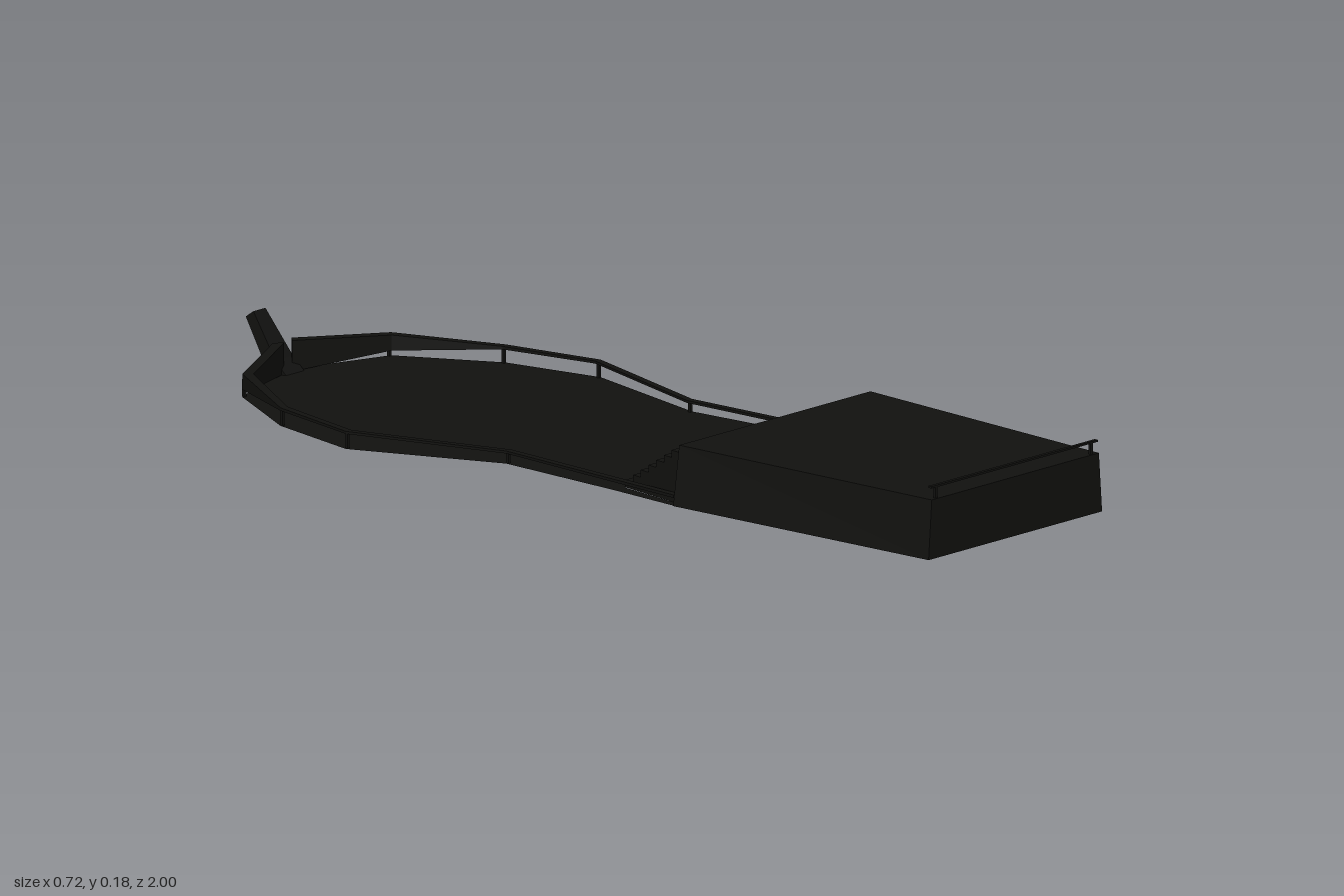
import * as THREE from 'three';

const mat = new THREE.MeshStandardMaterial({ color: 0x11110f, flatShading: true, side: THREE.DoubleSide });

// Mesh from a list of quads, each with four [x, y, z] corners
function quadMesh(name, quads) {
  const pos = [];
  for (const [a, b, c, d] of quads) pos.push(...a, ...b, ...c, ...a, ...c, ...d);
  const geo = new THREE.BufferGeometry();
  geo.setAttribute('position', new THREE.Float32BufferAttribute(pos, 3));
  geo.computeVertexNormals();
  const mesh = new THREE.Mesh(geo, mat);
  mesh.name = name;
  return mesh;
}

// Skin four-cornered cross-sections, with end caps
function loft(name, sections) {
  const quads = [sections[0], sections[sections.length - 1]];
  for (let i = 0; i < sections.length - 1; i++) {
    const s = sections[i], t = sections[i + 1];
    for (let k = 0; k < 4; k++) quads.push([s[k], t[k], t[(k + 1) % 4], s[(k + 1) % 4]]);
  }
  return quadMesh(name, quads);
}

function box(name, w, h, d, x, y, z) {
  const mesh = new THREE.Mesh(new THREE.BoxGeometry(w, h, d), mat);
  mesh.name = name;
  mesh.position.set(x, y, z);
  return mesh;
}

// Deck outline: half width, deck height, z
const OUTLINE = [
  [0.026, 0.008, -0.92], [0.21, 0.015, -0.83], [0.318, 0.016, -0.63], [0.36, 0.017, -0.42],
  [0.262, 0.029, -0.09], [0.278, 0.034, 0.21], [0.287, 0.035, 0.37],
];
const STAIR = { z0: 0.21, z1: 0.37, y0: 0.035, y1: 0.152, steps: 7 };
const lerp = THREE.MathUtils.lerp;

export function createModel() {
  const model = new THREE.Group();

  // Main deck, open under the two stairs
  const deck = [];
  for (let i = 0; i < 5; i++) {
    const [w, y, z] = OUTLINE[i], [w2, y2, z2] = OUTLINE[i + 1];
    deck.push([[-w, y, z], [-w2, y2, z2], [w2, y2, z2], [w, y, z]]);
  }
  const [wa, ya, za] = OUTLINE[5], [wb, yb, zb] = OUTLINE[6];
  deck.push([[-0.1, ya, za], [-0.14, yb, zb], [0.14, yb, zb], [0.1, ya, za]]);
  for (const s of [-1, 1])
    deck.push([[s * 0.25, ya, za], [s * 0.27, yb, zb], [s * wb, yb, zb], [s * wa, ya, za]]);
  model.add(quadMesh('mainDeck', deck));

  // Raised cabin: leaning walls and roof, open underneath
  const ring = (front, back, y) => [[-back, y, 0.37], [back, y, 0.37], [front, y, 1], [-front, y, 1]];
  const low = ring(0.245, 0.287, 0.034), top = ring(0.236, 0.27, 0.152);
  const cabin = [top];
  for (let k = 0; k < 4; k++) cabin.push([low[k], top[k], top[(k + 1) % 4], low[(k + 1) % 4]]);
  model.add(quadMesh('raisedCabin', cabin));

  // Cabin end railing
  model.add(box('cabinRail', 0.47, 0.004, 0.008, 0, 0.176, 0.994));
  for (const s of [-1, 1]) model.add(box('cabinRailPost', 0.006, 0.024, 0.006, s * 0.219, 0.164, 0.994));

  for (const s of [-1, 1]) {
    // Stair with treads, risers and sides, wider at the foot
    const quads = [];
    const at = (t, y) => {
      const z = lerp(STAIR.z0, STAIR.z1, t);
      return [[s * lerp(0.1, 0.14, t), y, z], [s * lerp(0.25, 0.27, t), y, z]];
    };
    for (let i = 0; i < STAIR.steps; i++) {
      const t0 = i / STAIR.steps, t1 = (i + 1) / STAIR.steps;
      const yPrev = lerp(STAIR.y0, STAIR.y1, i / (STAIR.steps + 1));
      const y = lerp(STAIR.y0, STAIR.y1, (i + 1) / (STAIR.steps + 1));
      const a = at(t0, y), b = at(t1, y), riser = at(t0, yPrev);
      const a0 = at(t0, STAIR.y0), b0 = at(t1, STAIR.y0);
      quads.push([a[0], b[0], b[1], a[1]], [riser[0], a[0], a[1], riser[1]]);
      for (const k of [0, 1]) quads.push([a0[k], a[k], b[k], b0[k]]);
    }
    model.add(quadMesh('stair', quads));

    // Side rail, deepening into a bulwark at the bow: x, z, top, bottom, inward z shift
    const rail = [
      [0.286, 0.37, 0.056, 0.05, 0], [0.262, -0.09, 0.054, 0.049, 0], [0.36, -0.42, 0.052, 0.047, 0],
      [0.318, -0.63, 0.052, 0.046, 0.005], [0.21, -0.83, 0.061, 0.03, 0.015], [0.026, -0.92, 0.07, 0.008, 0.015],
    ].map(([x, z, t, b, dz]) => [
      [s * x, b, z], [s * x, t, z], [s * (x - 0.015), t, z + dz], [s * (x - 0.015), b, z + dz],
    ]);
    model.add(loft('sideRail', rail));

    // Rail posts at the outline corners
    for (const [w, y, z] of OUTLINE.slice(1, 5))
      model.add(box('railPost', 0.006, 0.05 - y, 0.006, s * (w - 0.005), (0.05 + y) / 2, z));
  }

  // Slanting prow post: half width, then inner and outer edges as y, z
  model.add(loft('prowPost', [
    [0.026, 0.005, -0.88, 0, -0.922], [0.025, 0.035, -0.915, 0.01, -0.935], [0.017, 0.12, -0.98, 0.106, -1],
  ].map(([w, y, z, y2, z2]) => [[-w, y, z], [w, y, z], [w, y2, z2], [-w, y2, z2]])));

  return model;
}
